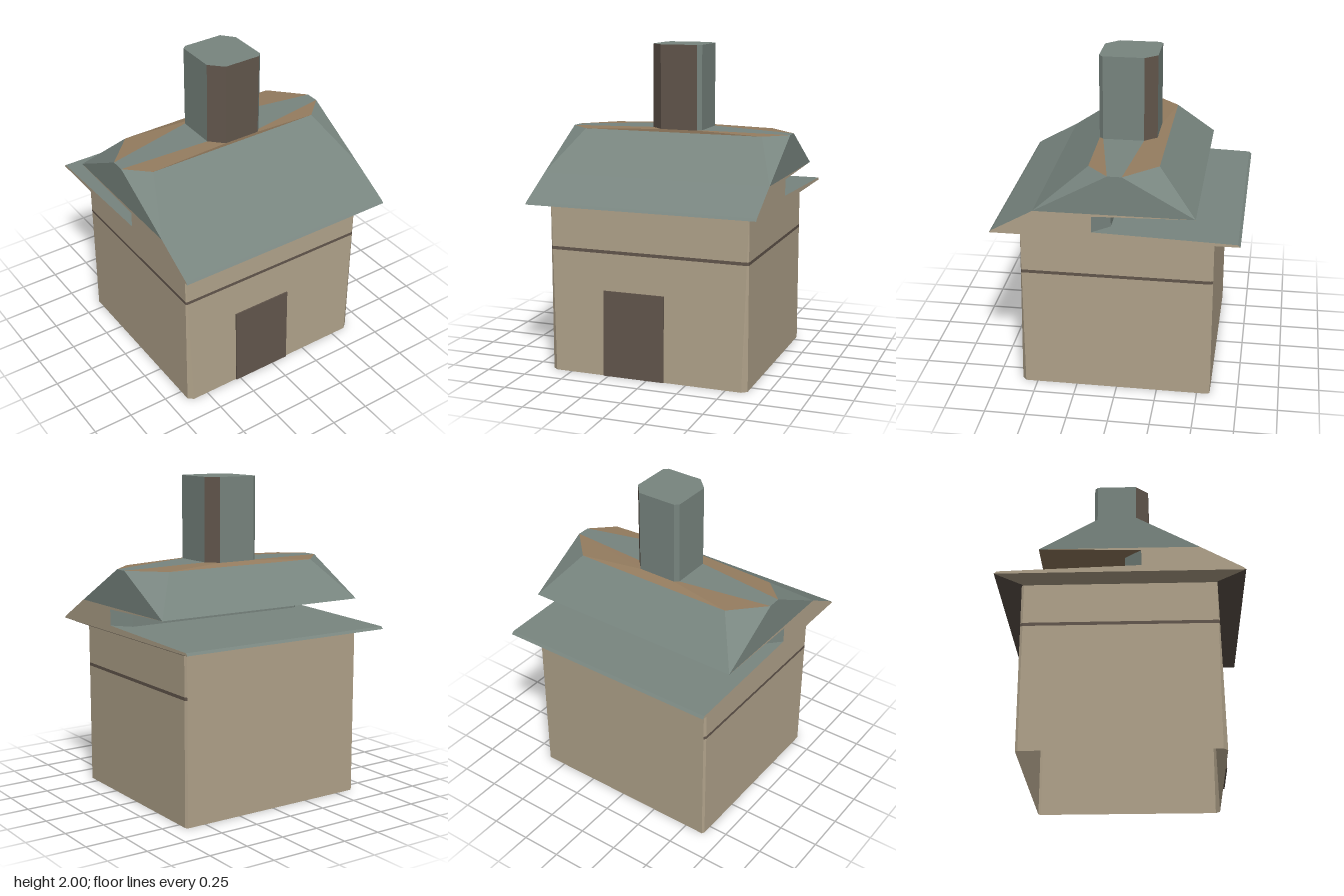
import * as THREE from 'three';

const WALL = 0xb0a28a, SLATE = 0x78857f, BROWN = 0x62564c, TAN = 0x947c5f;

const V = (x, y, z) => new THREE.Vector3(x, y, z);

// Flat polygons, each turned to face away from the part's centre
function facets(name, color, centre, polygons) {
  const pos = [];
  for (const poly of polygons) {
    const mid = poly.reduce((s, p) => s.add(p), V(0, 0, 0)).divideScalar(poly.length);
    const normal = V(0, 0, 0);
    poly.forEach((p, i) => normal.add(p.clone().sub(mid).cross(poly[(i + 1) % poly.length].clone().sub(mid))));
    const ring = normal.dot(mid.sub(centre)) < 0 ? [...poly].reverse() : poly;
    for (let i = 1; i < ring.length - 1; i++)
      for (const p of [ring[0], ring[i], ring[i + 1]]) pos.push(p.x, p.y, p.z);
  }
  const geo = new THREE.BufferGeometry();
  geo.setAttribute('position', new THREE.Float32BufferAttribute(pos, 3));
  geo.computeVertexNormals();
  const mat = new THREE.MeshStandardMaterial({ color, flatShading: true, side: THREE.DoubleSide });
  const mesh = new THREE.Mesh(geo, mat);
  mesh.name = name;
  return mesh;
}

// Quads joining two rings with the same number of points
const loft = (a, b) => a.map((p, i) => {
  const j = (i + 1) % a.length;
  return [p, a[j], b[j], b[i]];
});

const ringAt = (y, xz) => xz.map(([x, z]) => V(x, y, z));

// Strip across the roof between two [z, y] points, and side faces on both ends
const HALF = 0.72;
const strip = ([z0, y0], [z1, y1], h0 = HALF, h1 = HALF) =>
  [V(-h0, y0, z0), V(h0, y0, z0), V(h1, y1, z1), V(-h1, y1, z1)];
const ends = (profile) => [1, -1].map((s) => profile.map(([z, y]) => V(s * HALF, y, z)));

export function createModel() {
  const group = new THREE.Group();
  group.name = 'house';

  // Walls: front leans back, front corner bevels fade out upward, open below
  const wallRing = (y) => {
    const t = y / 1.03, fx = 0.6 + 0.028 * t, fz = 0.6 - 0.025 * t;
    return ringAt(y, [[-fx, fz], [fx, fz], [0.632, 0.574], [0.632, -0.565],
      [0.622, -0.58], [-0.622, -0.58], [-0.632, -0.565], [-0.632, 0.574]]);
  };
  const rings = [0, 0.765, 0.785, 1.03].map(wallRing);
  const bandFaces = loft(rings[1], rings[2]);
  const wallCentre = V(0, 0.5, 0);
  group.add(facets('walls', WALL, wallCentre,
    [...loft(rings[0], rings[1]), ...loft(rings[2], rings[3]), bandFaces[4]]));
  group.add(facets('wallBand', BROWN, wallCentre, bandFaces.filter((_, i) => i !== 4)));

  // Door, lying on the leaning front wall
  const door = new THREE.Mesh(new THREE.BoxGeometry(0.39, 0.535, 0.008),
    new THREE.MeshStandardMaterial({ color: BROWN }));
  door.position.set(-0.085, 0.268, 0.598);
  door.rotation.x = -Math.atan(0.025 / 1.03);
  door.name = 'door';
  group.add(door);

  // Eaves slab with flared soffits
  const eaveCentre = V(0, 1.07, 0);
  const soffit = loft(
    ringAt(1.03, [[-0.64, 0.575], [0.64, 0.575], [0.64, -0.575], [-0.64, -0.575]]),
    ringAt(1.065, [[-HALF, 0.74], [HALF, 0.74], [HALF, -0.735], [-HALF, -0.735]]));
  group.add(facets('eaveSoffits', BROWN, eaveCentre, [soffit[0], soffit[2]]));
  group.add(facets('eaveSides', WALL, eaveCentre, [soffit[1], soffit[3],
    strip([0.575, 1.03], [-0.575, 1.03], 0.64, 0.64),
    ...ends([[0.74, 1.065], [0.725, 1.08], [0.13, 1.105], [-0.72, 1.08], [-0.735, 1.065]])]));
  group.add(facets('eaveTop', SLATE, eaveCentre, [
    strip([0.74, 1.065], [0.725, 1.08]),
    strip([-0.735, 1.065], [-0.72, 1.08]),
    strip([-0.72, 1.08], [0.13, 1.105])]));

  // Front wedge below the upper roof, with a bevelled wall closing the rear slot
  const wedgeCentre = V(0, 1.15, 0.35);
  const slotRing = (y) => ringAt(y, [[-HALF, 0.13], [-0.62, 0.03], [0.62, 0.03], [HALF, 0.13]]);
  group.add(facets('lowerGables', WALL, wedgeCentre,
    ends([[0.725, 1.08], [0.475, 1.22], [0.13, 1.205], [0.13, 1.105]])));
  group.add(facets('lowerFrontSlope', SLATE, wedgeCentre, [strip([0.725, 1.08], [0.475, 1.22])]));
  group.add(facets('slotWall', SLATE, wedgeCentre, loft(slotRing(1.1), slotRing(1.21)).slice(0, 3)));

  // Upper roof with clipped corners, overhanging the slot at the back
  const roofCentre = V(0, 1.35, 0);
  const front = [0.475, 1.22], back = [-0.475, 1.222];
  const clips = [1, -1].flatMap((s) => [
    [V(s * HALF, 1.22, 0.475), V(s * HALF, 1.462, 0.035), V(s * 0.58, 1.462, 0.165)],
    [V(s * HALF, 1.222, -0.475), V(s * HALF, 1.462, -0.05), V(s * 0.53, 1.462, -0.245)]]);
  group.add(facets('upperRoof', SLATE, roofCentre, [
    strip(front, [0.165, 1.462], HALF, 0.58),
    strip(back, [-0.245, 1.462], HALF, 0.53),
    ...ends([front, [0.035, 1.462], [-0.05, 1.462], back]), ...clips]));
  group.add(facets('upperRoofEdge', WALL, roofCentre, ends([front, back, [0.13, 1.205]])));
  group.add(facets('upperRoofUnderside', TAN, roofCentre, [strip(back, [0.13, 1.205])]));

  // Shallow roof top rising to the chimney, and the bevelled chimney itself
  const stack = [[-0.07, 0.165], [0.165, 0.165], [0.19, 0.14], [0.19, -0.11],
    [0.125, -0.185], [-0.125, -0.185], [-0.15, -0.165], [-0.15, 0.085]];
  const rim = [[-0.58, 0.165], [0.58, 0.165], [HALF, 0.035], [HALF, -0.05],
    [0.53, -0.245], [-0.53, -0.245], [-HALF, -0.05], [-HALF, 0.035]];
  const base = ringAt(1.48, stack), top = ringAt(2, stack);
  const cap = loft(ringAt(1.462, rim), base), sides = loft(base, top);
  const pick = (list, ids, keep) => list.filter((_, i) => ids.includes(i) === keep);
  group.add(facets('roofTopEnds', SLATE, roofCentre, pick(cap, [2, 6], true)));
  group.add(facets('roofTopBorders', TAN, V(0, 1.35, -0.02), pick(cap, [2, 6], false)));
  const stackCentre = V(0.02, 1.74, -0.01);
  group.add(facets('chimneyDarkSides', BROWN, stackCentre, pick(sides, [0, 3, 7], true)));
  group.add(facets('chimney', SLATE, stackCentre, [...pick(sides, [0, 3, 7], false), top]));

  return group;
}
